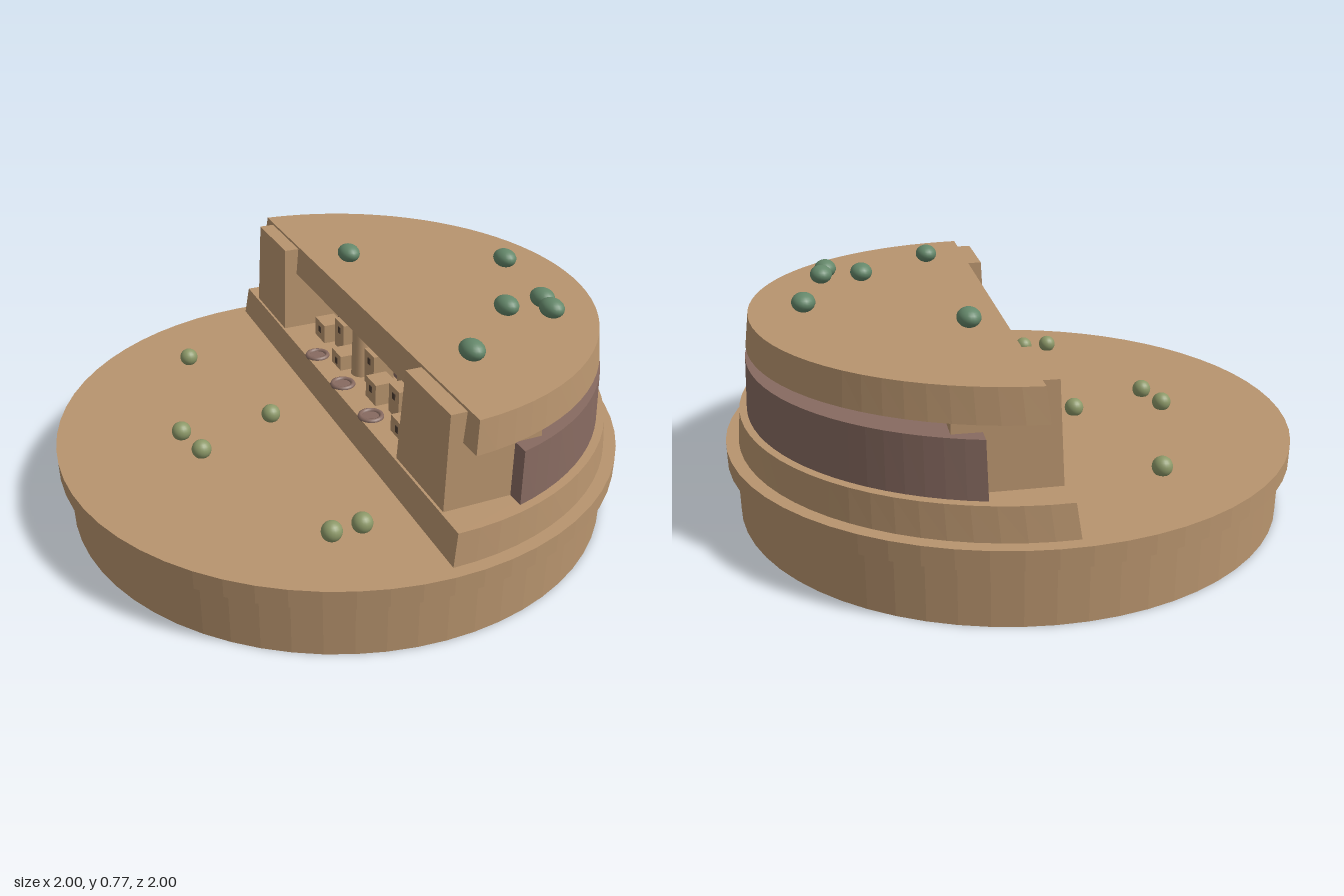
import * as THREE from 'three';

export function createModel() {
  const mat = (name, color, flatShading = false) => {
    const m = new THREE.MeshStandardMaterial({ color, flatShading });
    m.name = name;
    return m;
  };
  const sandstone = mat('sandstone', 0xb8946e);
  const shadedRock = mat('shadedRock', 0x876a60);
  const opening = mat('darkOpening', 0x4a3a2e);
  const treeGreen = mat('treeGreen', 0x64876a);
  const shrubGreen = mat('shrubGreen', 0x8c9868);

  const model = new THREE.Group();
  model.name = 'cliffDwelling';
  const add = (parent, name, geometry, material, x = 0, y = 0, z = 0) => {
    const mesh = new THREE.Mesh(geometry, material);
    mesh.name = name;
    mesh.position.set(x, y, z);
    parent.add(mesh);
    return mesh;
  };
  // Faceted disc with flat sides
  const disc = (r, h) => {
    const g = new THREE.CylinderGeometry(r, r, h, 64).toNonIndexed();
    g.computeVertexNormals();
    return g;
  };

  // Half disc cut by a straight front edge, tapering from radius r0/front f0 to r1/f1
  const halfDisc = (r0, f0, r1, f1, h) => {
    const shape = new THREE.Shape();
    const start = Math.asin(-f0 / r0), n = 40;
    for (let i = 0; i <= n; i++) {
      const a = start + (Math.PI - 2 * start) * i / n;
      const p = [r0 * Math.cos(a), r0 * Math.sin(a)];
      i ? shape.lineTo(...p) : shape.moveTo(...p);
    }
    const g = new THREE.ExtrudeGeometry(shape, { depth: h, bevelEnabled: false });
    g.rotateX(-Math.PI / 2);
    const p = g.attributes.position;
    for (let i = 0; i < p.count; i++) {
      if (p.getY(i) < h / 2) continue;
      p.setX(i, p.getX(i) * r1 / r0);
      p.setZ(i, f1 + (p.getZ(i) - f0) * (r1 + f1) / (r0 + f0));
    }
    g.computeVertexNormals();
    return g;
  };

  // Box whose top is inset on every side
  const taperedBox = (w, h, d, inset) => {
    const g = new THREE.BoxGeometry(w, h, d);
    const p = g.attributes.position;
    for (let i = 0; i < p.count; i++) {
      if (p.getY(i) < 0) continue;
      p.setX(i, p.getX(i) - Math.sign(p.getX(i)) * inset);
      p.setZ(i, p.getZ(i) - Math.sign(p.getZ(i)) * inset);
    }
    g.computeVertexNormals();
    return g;
  };

  // Round base with a wider rim
  add(model, 'base', disc(0.97, 0.2), sandstone, 0, 0.1, 0);
  add(model, 'baseRim', disc(1, 0.065), sandstone, 0, 0.2325, 0);

  // Mesa, turned on the base
  const mesa = new THREE.Group();
  mesa.name = 'mesa';
  mesa.rotation.y = -Math.PI / 9;
  model.add(mesa);
  const floor = 0.376;
  add(mesa, 'lowerLedge', halfDisc(0.957, 0.03, 0.945, 0.014, floor - 0.264), sandstone, 0, 0.264, 0);
  add(mesa, 'alcoveBackWall', halfDisc(0.92, -0.225, 0.91, -0.23, 0.56 - floor), shadedRock, 0, floor, 0);
  add(mesa, 'mesaCap', halfDisc(0.905, -0.052, 0.89, -0.064, 0.108), sandstone, 0, 0.6, 0);
  for (const side of [-1, 1]) {
    add(mesa, 'cliffPillar', taperedBox(0.32, 0.7 - floor, 0.335, 0.014), sandstone,
      side * 0.675, (0.7 + floor) / 2, -0.162);
  }

  // Houses: x, front z, width, top height
  const houses = [
    [-0.376, -0.09, 0.092, 0.45], [-0.264, -0.125, 0.085, 0.49], [-0.139, -0.06, 0.083, 0.433],
    [0.045, -0.11, 0.08, 0.508], [0.148, -0.07, 0.083, 0.457], [0.271, -0.1, 0.078, 0.485],
    [0.212, -0.15, 0.045, 0.55], [0.4, -0.05, 0.092, 0.438],
  ];
  for (const [x, front, w, top] of houses) {
    const house = new THREE.Group();
    house.name = 'house';
    house.position.set(x, floor, front);
    mesa.add(house);
    const h = top - floor, d = w < 0.06 ? 0.05 : 0.078;
    add(house, 'houseWalls', new THREE.BoxGeometry(w, h, d), sandstone, 0, h / 2, -d / 2);
    add(house, 'houseWindow', new THREE.BoxGeometry(0.018, 0.024, 0.004), opening, 0.002, h - 0.032, 0.001);
  }

  // Round tower
  add(mesa, 'tower', new THREE.CylinderGeometry(0.031, 0.036, 0.58 - floor, 24), sandstone,
    -0.055, (0.58 + floor) / 2, -0.123);

  // Round sunken rooms along the ledge
  for (const x of [-0.246, 0, 0.246]) {
    const ring = new THREE.TorusGeometry(0.037, 0.009, 8, 24).rotateX(Math.PI / 2);
    add(mesa, 'roundRoomRim', ring, shadedRock, x, floor + 0.002, -0.027);
    add(mesa, 'roundRoomFloor', new THREE.CylinderGeometry(0.034, 0.034, 0.004, 24), shadedRock,
      x, floor + 0.001, -0.027);
  }

  // Trees on the mesa top
  for (const [x, z] of [[0.19, -0.68], [0.505, -0.495], [0.578, -0.45], [0.462, -0.355], [-0.24, -0.288], [0.598, -0.02]]) {
    const tree = add(model, 'mesaTree', new THREE.SphereGeometry(1, 20, 14), treeGreen, x, 0.741, z);
    tree.scale.set(0.05, 0.033, 0.04);
    tree.rotation.y = -Math.PI / 9;
  }

  // Shrubs on the valley floor
  for (const [x, z] of [[-0.685, 0.165], [-0.123, 0.207], [-0.243, 0.515], [-0.1, 0.533], [0.573, 0.42], [0.541, 0.518]]) {
    add(model, 'valleyShrub', new THREE.SphereGeometry(0.034, 20, 14), shrubGreen, x, 0.289, z);
  }
  return model;
}
